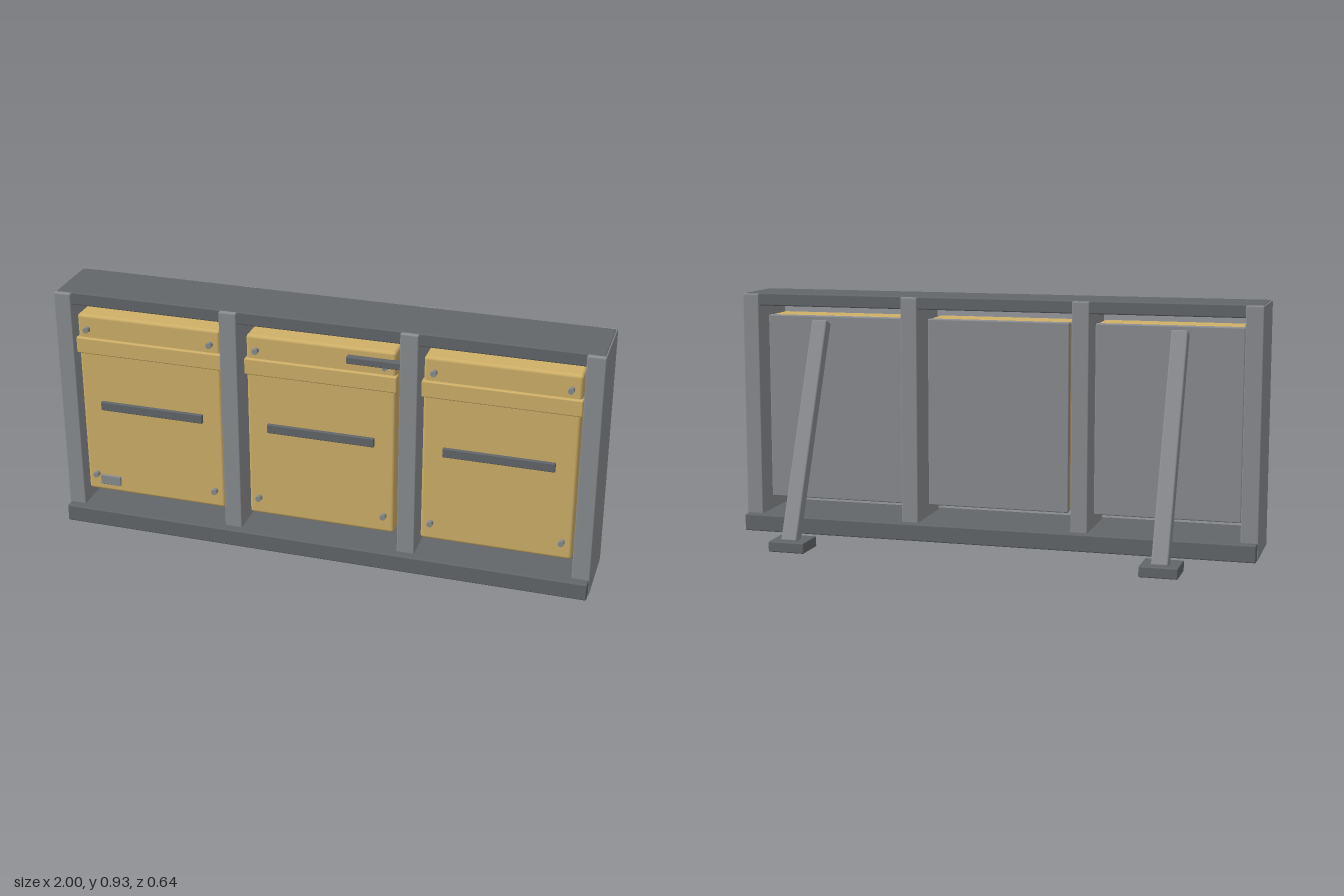
import * as THREE from 'three';
import { RoundedBoxGeometry } from 'three/addons/geometries/RoundedBoxGeometry.js';

const material = (name, color) => {
  const m = new THREE.MeshStandardMaterial({ color });
  m.name = name;
  return m;
};

export function createModel() {
  const steel = material('light steel', 0x8a8d91);
  const darkSteel = material('dark steel', 0x63676a);
  const yellow = material('sand yellow', 0xcfb068);

  const model = new THREE.Group();
  model.name = 'lockerRack';

  // Softly bevelled box given by its [min, max] ranges
  const box = (name, mat, [x0, x1], [y0, y1], [z0, z1], parent = model, r = 0.005) => {
    const size = [x1 - x0, y1 - y0, z1 - z0];
    const radius = Math.min(r, Math.min(...size) * 0.3);
    const mesh = new THREE.Mesh(new RoundedBoxGeometry(...size, 2, radius), mat);
    mesh.position.set((x0 + x1) / 2, (y0 + y1) / 2, (z0 + z1) / 2);
    mesh.name = name;
    parent.add(mesh);
    return mesh;
  };

  // Frame: base, top beam and four full-depth uprights
  box('base', darkSteel, [-0.996, 0.996], [0, 0.065], [-0.01, 0.32]);
  box('topBeam', darkSteel, [-0.996, 0.996], [0.88, 0.928], [0.037, 0.273]);
  for (const x of [-0.967, -0.334, 0.327, 0.967]) {
    box('upright', steel, [x - 0.033, x + 0.033], [0.002, 0.926], [0.025, 0.287]);
  }

  // Three yellow cabinets with grey backs
  for (const x of [-0.65, 0, 0.65]) {
    const cabinet = new THREE.Group();
    cabinet.name = 'cabinet';
    cabinet.position.x = x;
    model.add(cabinet);
    box('cabinetBack', steel, [-0.276, 0.276], [0.12, 0.84], [0.1, 0.125], cabinet);
    box('cabinetBody', yellow, [-0.276, 0.276], [0.12, 0.84], [0.12, 0.26], cabinet, 0.012);
    box('coverBand', yellow, [-0.281, 0.281], [0.69, 0.752], [0.235, 0.272], cabinet);
    box('handle', darkSteel, [-0.2, 0.2], [0.466, 0.5], [0.25, 0.272], cabinet, 0.003);

    // Corner bolts
    for (const bx of [-0.238, 0.238]) {
      for (const by of [0.19, 0.785]) {
        const bolt = new THREE.Mesh(new THREE.CylinderGeometry(0.011, 0.011, 0.03, 12), steel);
        bolt.name = 'bolt';
        bolt.rotation.x = Math.PI / 2;
        bolt.position.set(bx, by, 0.264);
        cabinet.add(bolt);
      }
    }
  }

  // Small plate on the first cabinet and latch bar on the middle one
  box('plate', steel, [-0.873, -0.793], [0.15, 0.188], [0.255, 0.268], model, 0.002);
  box('latchBar', darkSteel, [0.1, 0.31], [0.786, 0.812], [0.255, 0.283], model, 0.003);

  // Rear struts leaning onto their feet
  const top = new THREE.Vector2(0.072, 0.822);
  const bottom = new THREE.Vector2(-0.272, 0.03);
  const run = top.clone().sub(bottom);
  for (const x of [-0.695, 0.695]) {
    const half = run.length() / 2;
    const strut = box('strut', steel, [-0.031, 0.031], [-half, half], [-0.024, 0.024], model, 0.007);
    strut.position.set(x, (top.y + bottom.y) / 2, (top.x + bottom.x) / 2);
    strut.rotation.x = Math.atan2(run.x, run.y);
    box('foot', darkSteel, [x - 0.07, x + 0.07], [0, 0.04], [-0.32, -0.19]);
  }

  return model;
}
